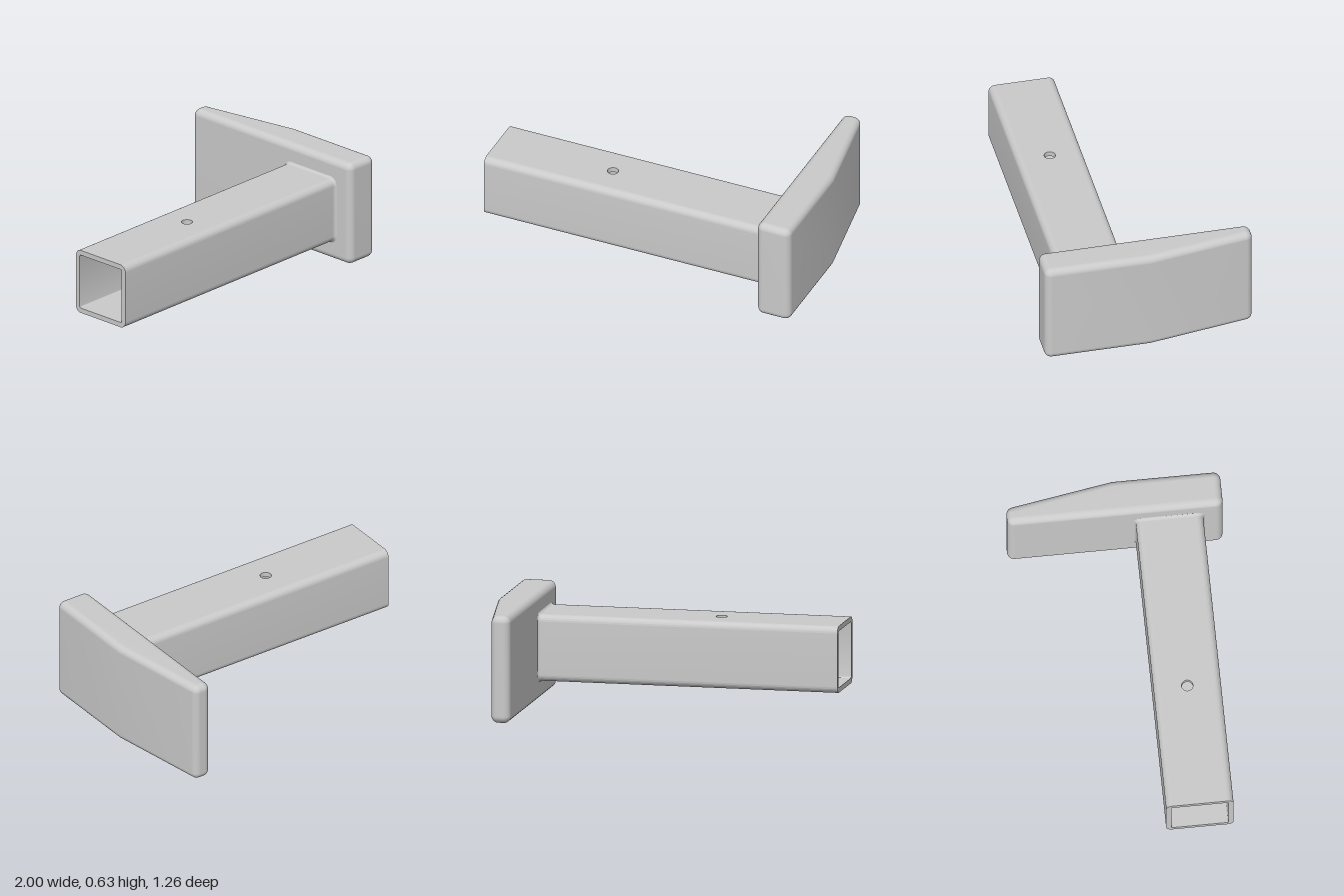
import * as THREE from 'three';
import { mergeVertices, toCreasedNormals } from 'three/addons/utils/BufferGeometryUtils.js';

const grey = new THREE.MeshStandardMaterial({ color: 0xcacaca });
grey.name = 'light grey metal';

const C = 0.315;      // tube axis height and z
const HALF = 0.197;   // tube half width
const WALL = 0.03;
const R = 0.04;       // tube outer corner radius
const FLAT = HALF - R;
const X0 = -1, X1 = 0.79;

// Polygon with every corner rounded
function roundedPolygon(points, r) {
  const s = new THREE.Shape();
  const n = points.length;
  points.forEach((p, i) => {
    const a = points[(i + n - 1) % n], b = points[(i + 1) % n];
    const u = a.clone().sub(p).normalize(), v = b.clone().sub(p).normalize();
    const half = Math.acos(u.dot(v)) / 2;
    if (half > 1.4) { s.lineTo(p.x, p.y); return; }   // shallow bend stays a corner
    const d = r / Math.tan(half);
    const c = p.clone().add(u.clone().add(v).normalize().multiplyScalar(r / Math.sin(half)));
    const s0 = p.clone().addScaledVector(u, d).sub(c), e0 = p.clone().addScaledVector(v, d).sub(c);
    s.absarc(c.x, c.y, r, Math.atan2(s0.y, s0.x), Math.atan2(e0.y, e0.x), false);
  });
  return s;
}

function mesh(geometry, name) {
  const m = new THREE.Mesh(geometry, grey);
  m.name = name;
  return m;
}

// Thick plate, tapered on its rear half, all edges rounded
function makePlate() {
  const r = 0.04, h = 0.632;
  const outline = [[0.788, -0.63], [0.895, -0.63], [1, 0], [1, 0.63], [0.788, 0.63]]
    .map(([x, z]) => new THREE.Vector2(x, z));
  let g = new THREE.ExtrudeGeometry(roundedPolygon(outline, r + 0.002), {
    depth: h - 2 * r, bevelEnabled: true, bevelSize: r, bevelThickness: r,
    bevelOffset: -r, bevelSegments: 6, curveSegments: 8,
  });
  g.rotateX(Math.PI / 2).translate(0, h - r, 0);
  g.deleteAttribute('uv');
  g.deleteAttribute('normal');
  g = mergeVertices(g, 1e-5);
  g.computeVertexNormals();
  return mesh(g, 'endPlate');
}

// Side wall with both rounded corners of the tube
function makeSide(side) {
  const s = new THREE.Shape();
  const q = Math.PI / 2;
  s.absarc(FLAT, -FLAT, R, -q, 0, false);
  s.absarc(FLAT, FLAT, R, 0, q, false);
  s.absarc(FLAT, FLAT, R - WALL, q, 0, true);
  s.absarc(FLAT, -FLAT, R - WALL, 0, -q, true);
  let g = new THREE.ExtrudeGeometry(s, { depth: X1 + 0.01 - X0, bevelEnabled: false, curveSegments: 20 });
  g.rotateY(Math.PI / 2);
  if (side > 0) g.rotateX(Math.PI);
  g = toCreasedNormals(g, 0.4);
  g.translate(X0, C, C);
  return mesh(g, side > 0 ? 'tubeFrontWall' : 'tubeBackWall');
}

// Flat top or bottom wall with the pin hole
function makeDrilledWall(top, name) {
  const s = new THREE.Shape();
  s.moveTo(X0, -FLAT).lineTo(X1 + 0.01, -FLAT).lineTo(X1 + 0.01, FLAT).lineTo(X0, FLAT);
  s.holes.push(new THREE.Path().absarc(-0.265, 0, 0.033, 0, Math.PI * 2, true));
  const g = new THREE.ExtrudeGeometry(s, { depth: WALL, bevelEnabled: false, curveSegments: 24 });
  g.rotateX(Math.PI / 2).translate(0, top, C);
  return mesh(toCreasedNormals(g, 0.5), name);
}

// Concave weld fillet: rounded-square rings flaring out towards the plate
function makeFillet() {
  const f = 0.02, rings = 6, arc = 8, pos = [], idx = [];
  const count = 4 * (arc + 1);
  for (let i = 0; i <= rings; i++) {
    const t = (i / rings) * Math.PI / 2;
    const x = X1 - f + f * Math.sin(t), rad = R + f * (1 - Math.cos(t));
    for (let k = 0; k < 4; k++) {
      const m = (k + 0.5) * Math.PI / 2;
      for (let j = 0; j <= arc; j++) {
        const a = (k + j / arc) * Math.PI / 2;
        pos.push(x,
          C + Math.sign(Math.sin(m)) * FLAT + rad * Math.sin(a),
          C + Math.sign(Math.cos(m)) * FLAT + rad * Math.cos(a));
      }
    }
  }
  for (let i = 0; i < rings; i++) {
    for (let j = 0; j < count; j++) {
      const a = i * count + j, b = i * count + (j + 1) % count;
      idx.push(a, a + count, b, b, a + count, b + count);
    }
  }
  const g = new THREE.BufferGeometry();
  g.setAttribute('position', new THREE.Float32BufferAttribute(pos, 3));
  g.setIndex(idx);
  g.computeVertexNormals();
  return mesh(g, 'weldFillet');
}

export function createModel() {
  const model = new THREE.Group();
  model.name = 'platedTube';
  const tube = new THREE.Group();
  tube.name = 'squareTube';
  tube.add(
    makeSide(1), makeSide(-1),
    makeDrilledWall(C + HALF, 'tubeTopWall'),
    makeDrilledWall(C - HALF + WALL, 'tubeBottomWall'),
  );
  model.add(tube, makeFillet(), makePlate());
  return model;
}
